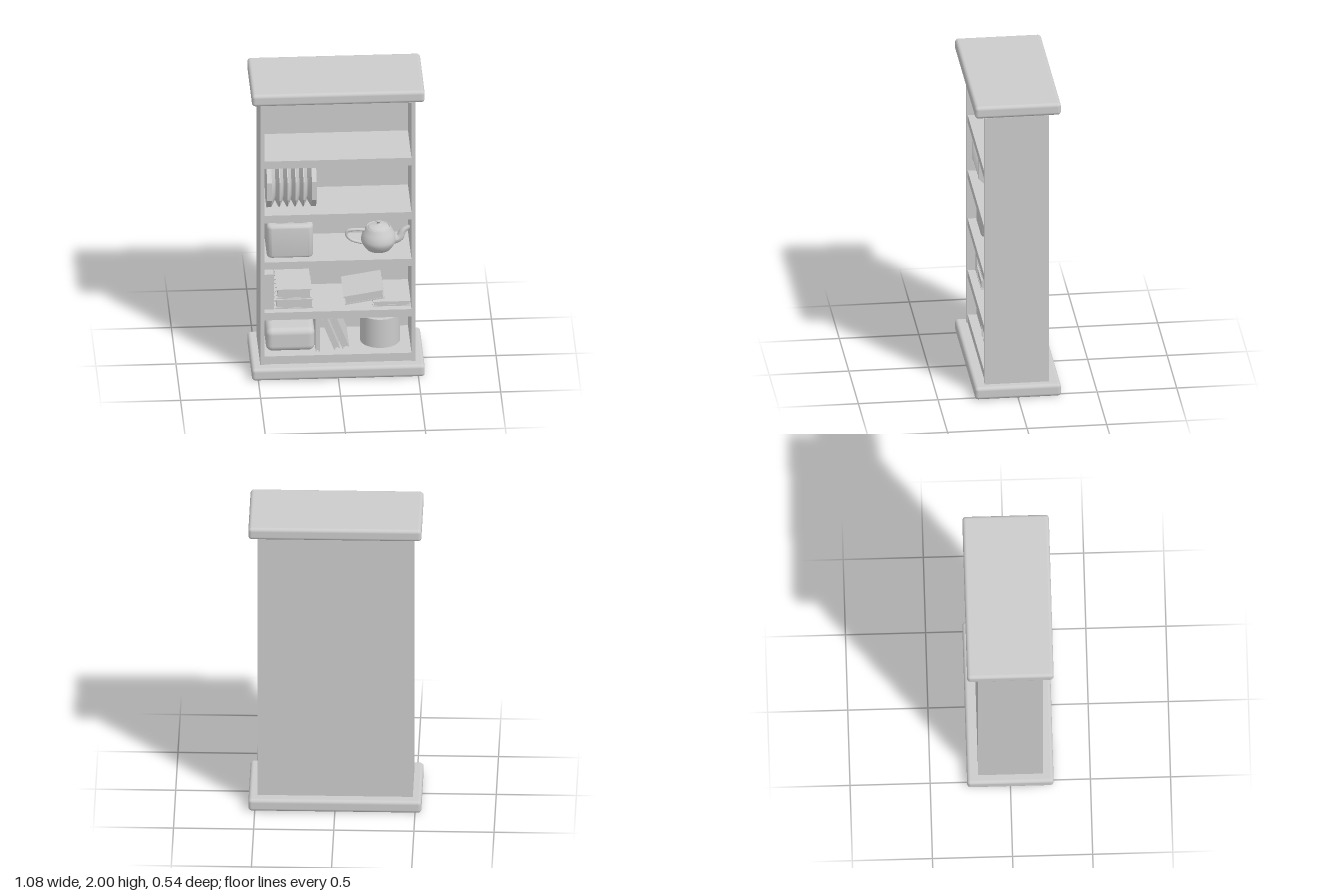
import * as THREE from 'three';
import { RoundedBoxGeometry } from 'three/addons/geometries/RoundedBoxGeometry.js';
import { toCreasedNormals } from 'three/addons/utils/BufferGeometryUtils.js';

const material = new THREE.MeshStandardMaterial({ color: 0xcccccc });
const doubleMaterial = new THREE.MeshStandardMaterial({ color: 0xcccccc, side: THREE.DoubleSide });

function add(parent, name, geometry, x = 0, y = 0, z = 0, mat = material) {
  const mesh = new THREE.Mesh(geometry, mat);
  mesh.name = name;
  mesh.position.set(x, y, z);
  parent.add(mesh);
  return mesh;
}

// Box given by its limits on each axis
function box(parent, name, x0, x1, y0, y1, z0, z1, radius = 0) {
  const size = [x1 - x0, y1 - y0, z1 - z0];
  const geometry = radius ? new RoundedBoxGeometry(...size, 4, radius) : new THREE.BoxGeometry(...size);
  return add(parent, name, geometry, (x0 + x1) / 2, (y0 + y1) / 2, (z0 + z1) / 2);
}

// Book lying flat: two covers, a spine on the -x side and inset pages
function book(parent, name, width, thick, depth, x, y, z, angle = 0) {
  const group = new THREE.Group();
  group.name = name;
  const w = width / 2, t = thick / 2, d = depth / 2, c = Math.min(0.008, thick / 4);
  box(group, 'upperCover', -w, w, t - c, t, -d, d);
  box(group, 'lowerCover', -w, w, -t, -t + c, -d, d);
  box(group, 'pages', -w + 0.008, w - 0.008, -t + c, t - c, -d + 0.008, d - 0.003);
  group.position.set(x, y, z);
  group.rotation.z = angle;
  parent.add(group);
}

// Tube whose radius runs from r0 to r1
function taperedTube(points, r0, r1) {
  const curve = new THREE.CatmullRomCurve3(points.map(([x, y]) => new THREE.Vector3(x, y, 0)));
  const steps = 24, sides = 14;
  const geometry = new THREE.TubeGeometry(curve, steps, 1, sides);
  const p = geometry.attributes.position, v = new THREE.Vector3();
  for (let i = 0; i <= steps; i++) {
    const centre = curve.getPointAt(i / steps), r = r0 + (r1 - r0) * i / steps;
    for (let j = 0; j <= sides; j++) {
      const k = i * (sides + 1) + j;
      v.fromBufferAttribute(p, k).sub(centre).multiplyScalar(r).add(centre);
      p.setXYZ(k, v.x, v.y, v.z);
    }
  }
  geometry.computeVertexNormals();
  return geometry;
}

const vec2 = ([x, y]) => new THREE.Vector2(x, y);

function createTeapot() {
  const pot = new THREE.Group();
  pot.name = 'teapot';
  const body = [[0, 0], [0.065, 0], [0.078, 0.008], [0.098, 0.035], [0.109, 0.065], [0.103, 0.1],
    [0.086, 0.135], [0.076, 0.153], [0.071, 0.153], [0.068, 0.147]];
  const lid = [[0.069, 0.149], [0.06, 0.158], [0.035, 0.165], [0.014, 0.17], [0.009, 0.177],
    [0.013, 0.186], [0.019, 0.192], [0.016, 0.198], [0, 0.2]];
  const smooth = (pts) => new THREE.SplineCurve(pts.map(vec2)).getPoints(36);
  add(pot, 'potBody', new THREE.LatheGeometry(smooth(body), 36), 0, 0, 0, doubleMaterial);
  add(pot, 'potLid', new THREE.LatheGeometry(smooth(lid), 36), 0, 0, 0, doubleMaterial);
  add(pot, 'spout', taperedTube([[0.085, 0.06], [0.13, 0.075], [0.155, 0.12], [0.195, 0.15]], 0.034, 0.012),
    0, 0, 0, doubleMaterial);
  add(pot, 'handle', taperedTube([[-0.08, 0.13], [-0.14, 0.134], [-0.193, 0.127], [-0.199, 0.1],
    [-0.17, 0.065], [-0.1, 0.04]], 0.01, 0.01));
  return pot;
}

// Upright octagonal plates joined in a row along x
function createPlates() {
  const half = 0.155, rim = 0.15 / Math.cos(Math.PI / 8), inner = rim * 0.72;
  const profile = [[0, -half], [rim, -half], [rim, -half + 0.03]];
  for (let i = 0; i < 5; i++) {
    const x = -0.1 + i * 0.05;
    profile.push([inner, x - 0.001]);
    if (i < 4) profile.push([rim, x + 0.022], [rim, x + 0.028]);
  }
  profile.push([rim, half - 0.03], [rim, half], [0, half]);
  const geometry = new THREE.LatheGeometry(profile.map(vec2), 8, Math.PI / 8);
  geometry.rotateZ(-Math.PI / 2);
  return toCreasedNormals(geometry, 0.5);
}

function roundedRect(Type, x0, x1, y0, y1, r) {
  const s = new Type();
  s.moveTo(x0 + r, y0);
  s.absarc(x1 - r, y0 + r, r, -Math.PI / 2, 0);
  s.absarc(x1 - r, y1 - r, r, 0, Math.PI / 2);
  s.absarc(x0 + r, y1 - r, r, Math.PI / 2, Math.PI);
  s.absarc(x0 + r, y0 + r, r, Math.PI, Math.PI * 1.5);
  return s;
}

// Rounded box with two long slots in its top
function createSlottedBox() {
  const b = 0.02;
  const shape = roundedRect(THREE.Shape, -0.125, 0.125, -0.13, 0.13, 0.015);
  for (const x of [-0.055, 0.055])
    shape.holes.push(roundedRect(THREE.Path, x - 0.045, x + 0.045, -0.11, 0.11, 0.01));
  const geometry = new THREE.ExtrudeGeometry(shape, {
    depth: 0.225 - 2 * b, bevelThickness: b, bevelSize: b, bevelSegments: 4, curveSegments: 5 });
  geometry.rotateX(-Math.PI / 2).translate(0, b, 0);
  return toCreasedNormals(geometry, 0.6);
}

export function createModel() {
  const model = new THREE.Group();
  model.name = 'bookcase';

  // Rounded plinth and cap
  box(model, 'plinth', -0.54, 0.54, 0, 0.082, -0.27, 0.27, 0.022);
  box(model, 'cap', -0.54, 0.54, 1.92, 2, -0.27, 0.27, 0.022);

  // Carcass
  for (const s of [-1, 1])
    box(model, s < 0 ? 'rightSide' : 'leftSide', s * 0.4725 - 0.0125, s * 0.4725 + 0.0125, 0.08, 1.9, -0.2, 0.205);
  box(model, 'backPanel', -0.46, 0.46, 0.08, 1.9, -0.2, -0.18);
  box(model, 'topRail', -0.484, 0.484, 1.88, 1.922, -0.188, 0.188);

  // Shelves
  for (const [y0, y1] of [[0.08, 0.137], [0.39, 0.442], [0.745, 0.795], [1.07, 1.122], [1.45, 1.502]])
    box(model, 'shelf', -0.46, 0.46, y0, y1, -0.18, 0.198);

  // Bottom shelf: rounded box, books and a round tin
  box(model, 'roundedBox', -0.445, -0.14, 0.138, 0.295, -0.15, 0.15, 0.04);
  book(model, 'uprightBook', 0.245, 0.026, 0.3, -0.123, 0.26, 0, Math.PI / 2);
  book(model, 'leaningBook', 0.235, 0.038, 0.3, -0.045, 0.263, 0, -1.2);
  book(model, 'leaningBook', 0.228, 0.045, 0.28, 0.012, 0.261, 0, -1.2);
  add(model, 'tin', new THREE.CylinderGeometry(0.125, 0.125, 0.197, 40), 0.275, 0.2365, 0);

  // Second shelf: books
  box(model, 'uprightBook', -0.459, -0.397, 0.442, 0.685, -0.15, 0.15);
  book(model, 'stackedBook', 0.237, 0.064, 0.32, -0.27, 0.475, -0.01);
  book(model, 'stackedBook', 0.218, 0.064, 0.3, -0.27, 0.54, -0.01);
  book(model, 'flatBook', 0.236, 0.032, 0.3, 0.34, 0.459, 0);
  book(model, 'tiltedBook', 0.25, 0.058, 0.28, 0.167, 0.502, 0, 0.16);

  // Third shelf: slotted box and teapot
  add(model, 'slottedBox', createSlottedBox(), -0.295, 0.795, 0);
  const teapot = createTeapot();
  teapot.position.set(0.263, 0.795, 0.04);
  model.add(teapot);

  // Fourth shelf: plates
  add(model, 'plates', createPlates(), -0.285, 1.273, 0.02);

  return model;
}
